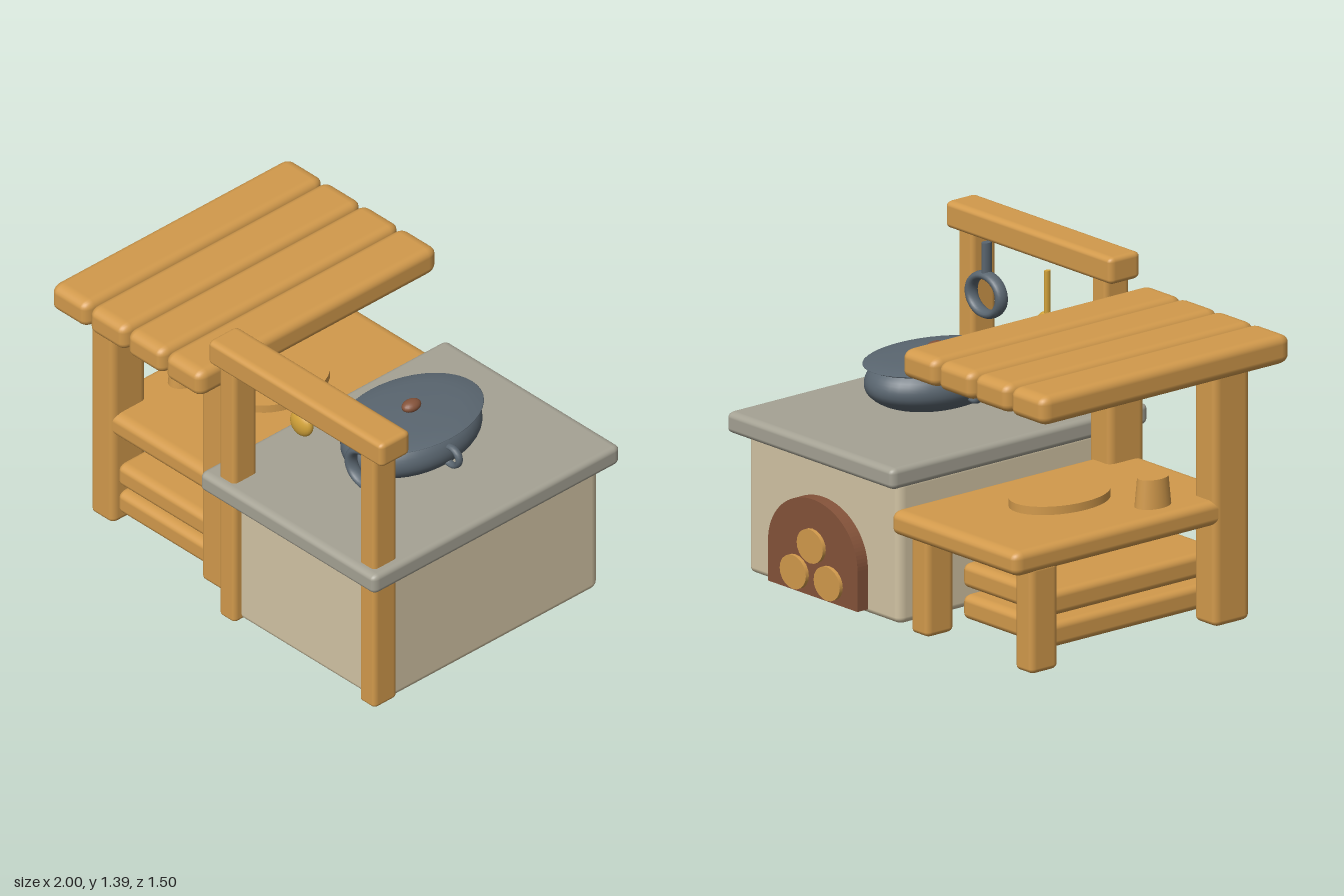
import * as THREE from 'three';
import { RoundedBoxGeometry } from 'three/addons/geometries/RoundedBoxGeometry.js';

const mat = (name, color) => {
  const m = new THREE.MeshStandardMaterial({ color });
  m.name = name;
  return m;
};

// Everything is stretched front to back by this factor, rounded edges included
const STRETCH = 1.42;

export function createModel() {
  const group = new THREE.Group();
  const wood = mat('wood', 0xd29a4c);
  const stone = mat('stone', 0xa5a294);
  const plaster = mat('plaster', 0xd2c4a4);
  const iron = mat('iron', 0x5a6670);
  const brown = mat('brown', 0x85533a);
  const brass = mat('brass', 0xd4a43a);

  const add = (name, geometry, material, x = 0, y = 0, z = 0) => {
    const mesh = new THREE.Mesh(geometry, material);
    mesh.name = name;
    mesh.position.set(x, y, z);
    group.add(mesh);
    return mesh;
  };

  // Rounded block given by its limits on each axis
  const block = (name, material, [x0, x1], [y0, y1], [z0, z1], radius) => {
    const g = new RoundedBoxGeometry(x1 - x0, y1 - y0, (z1 - z0) / STRETCH, 3, radius);
    g.scale(1, 1, STRETCH);
    return add(name, g, material, (x0 + x1) / 2, (y0 + y1) / 2, (z0 + z1) / 2);
  };

  // Stove
  block('stoveBody', plaster, [-0.05, 0.93], [0.005, 0.64], [-0.63, 0.64], 0.03);
  block('stoveTop', stone, [-0.1, 0.98], [0.63, 0.725], [-0.71, 0.725], 0.025);

  // Hanging rack over the stove
  for (const x of [0.025, 0.89]) {
    block('rackPost', wood, [x - 0.048, x + 0.048], [0.005, 1.3], [0.548, 0.684], 0.018);
  }
  block('rackBeam', wood, [-0.08, 0.995], [1.28, 1.4], [0.525, 0.697], 0.022);

  // Arched fire opening on the back
  const arch = new THREE.Shape();
  arch.moveTo(-0.29, 0.03);
  arch.lineTo(0.29, 0.03);
  arch.lineTo(0.29, 0.21);
  arch.absellipse(0, 0.21, 0.29, 0.25, 0, Math.PI, false);
  arch.lineTo(-0.29, 0.03);
  add('fireOpening',
    new THREE.ExtrudeGeometry(arch, { depth: 0.08, bevelEnabled: false, curveSegments: 24 }),
    brown, 0.44, 0, -0.688);
  for (const [x, y] of [[0.33, 0.115], [0.55, 0.115], [0.44, 0.255]]) {
    const log = new THREE.CylinderGeometry(1, 1, 0.06, 20).rotateX(Math.PI / 2).scale(0.085, 0.075, 1);
    add('fireLog', log, wood, x, y, -0.675);
  }

  // Cooking pot
  const lathe = (points) => new THREE.LatheGeometry(
    new THREE.SplineCurve(points.map(([r, y]) => new THREE.Vector2(r, y))).getPoints(20), 40
  ).scale(1, 1, STRETCH);
  add('potBody', lathe([[0, 0.74], [0.1, 0.747], [0.18, 0.775], [0.23, 0.82], [0.243, 0.865],
    [0.232, 0.91], [0.205, 0.945]]), iron, 0.44);
  add('potLid', lathe([[0, 0.938], [0.2, 0.938], [0.242, 0.949], [0.24, 0.955], [0.17, 0.969],
    [0, 0.978]]), iron, 0.44);
  add('lidKnob', new THREE.SphereGeometry(1, 20, 14).scale(0.034, 0.026, 0.048), brown, 0.44, 0.995, 0);
  for (const s of [-1, 1]) {
    add('potHandle', new THREE.TorusGeometry(0.046, 0.013, 10, 24).scale(1.05, 0.95, STRETCH),
      iron, 0.44 + s * 0.247, 0.86, 0);
  }

  // Hanging ladle
  add('ladleRod', new THREE.CylinderGeometry(0.011, 0.011, 0.24, 12).scale(1, 1, STRETCH),
    brass, 0.26, 1.16, 0.467);
  add('ladleBowl', new THREE.SphereGeometry(1, 24, 16).scale(0.063, 0.061, 0.034),
    brass, 0.26, 1.037, 0.467);

  // Hanging ring
  add('ringRod', new THREE.CylinderGeometry(0.017, 0.017, 0.14, 12).scale(1, 1, 1.5),
    iron, 0.71, 1.217, 0.515);
  add('hangingRing', new THREE.TorusGeometry(0.098, 0.022, 14, 36).scale(1, 0.87, 1.45),
    iron, 0.71, 1.055, 0.513);

  // Canopy of four planks on two posts
  for (let i = 0; i < 4; i++) {
    const x = -0.888 + i * 0.234;
    block('canopyPlank', wood, [x - 0.112, x + 0.112], [1.115, 1.245], [-0.643, 0.747], 0.038);
  }
  for (const x of [-0.88, -0.198]) {
    block('canopyPost', wood, [x - 0.07, x + 0.07], [0.005, 1.14], [0.36, 0.56], 0.025);
  }

  // Work table with back legs and lower shelves
  block('tableTop', wood, [-0.948, -0.132], [0.455, 0.565], [-0.752, 0.552], 0.035);
  for (const x of [-0.883, -0.208]) {
    block('tableLeg', wood, [x - 0.055, x + 0.055], [0.005, 0.48], [-0.655, -0.5], 0.022);
  }
  for (const y of [0.05, 0.19]) {
    block('shelf', wood, [-0.825, -0.255], [y, y + 0.11], [-0.46, 0.525], 0.03);
  }

  // Tableware
  add('plate', new THREE.CylinderGeometry(0.172, 0.172, 0.05, 36).scale(1, 1, STRETCH),
    wood, -0.5, 0.577, -0.12);
  add('mug', new THREE.CylinderGeometry(0.053, 0.063, 0.14, 24).scale(1, 1, STRETCH),
    wood, -0.803, 0.622, 0.14);

  return group;
}
